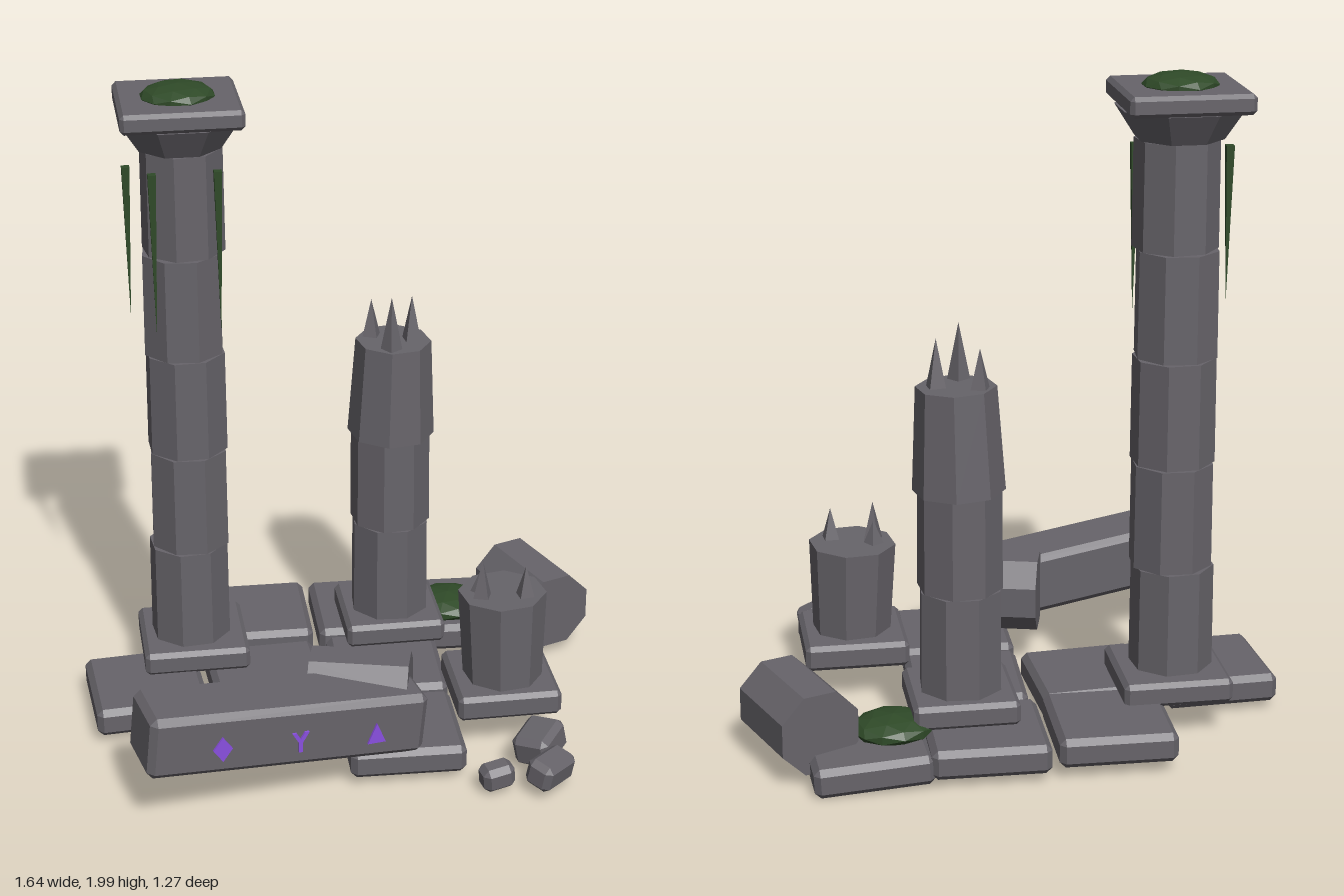
import * as THREE from 'three';
import { ConvexGeometry } from 'three/addons/geometries/ConvexGeometry.js';

const stone = new THREE.MeshStandardMaterial({ color: 0x67646a });
stone.name = 'stone';
const moss = new THREE.MeshStandardMaterial({ color: 0x2f4a28 });
moss.name = 'moss';
const glow = new THREE.MeshStandardMaterial({ color: 0x8a4fe0 });
glow.name = 'runePurple';

// Faceted copy of a geometry
function flat(geometry) {
  const g = geometry.index ? geometry.toNonIndexed() : geometry;
  g.computeVertexNormals();
  return g;
}

function add(parent, name, geometry, material, pos, rot = [0, 0, 0]) {
  const mesh = new THREE.Mesh(geometry, material);
  mesh.name = name;
  mesh.position.set(...pos);
  mesh.rotation.set(...rot);
  parent.add(mesh);
  return mesh;
}

// Box with every edge and corner cut off
function chamferBox(w, h, d, c) {
  const points = [];
  for (const x of [-1, 1]) for (const y of [-1, 1]) for (const z of [-1, 1]) {
    const X = w / 2, Y = h / 2, Z = d / 2;
    points.push(
      new THREE.Vector3(x * X, y * (Y - c), z * (Z - c)),
      new THREE.Vector3(x * (X - c), y * Y, z * (Z - c)),
      new THREE.Vector3(x * (X - c), y * (Y - c), z * Z));
  }
  return new ConvexGeometry(points);
}

// Eight-sided drum with a flat side to the front
function drum(top, bottom, height) {
  return flat(new THREE.CylinderGeometry(top, bottom, height, 8, 1, false, Math.PI / 8));
}

// Broken-off shards: [x, z, tip height] standing on y
function addShards(parent, y, shards) {
  shards.forEach(([x, z, tip], i) => {
    const h = tip - y + 0.01;
    add(parent, 'shard', flat(new THREE.ConeGeometry(0.036, h, 4)), stone,
      [x, y - 0.01 + h / 2, z], [0, 0.4 + i * 0.5, 0]);
  });
}

function addMoss(parent, x, y, z, rx, ry, rz, turn) {
  const g = flat(new THREE.IcosahedronGeometry(1, 1));
  g.scale(rx, ry, rz);
  g.computeVertexNormals();
  add(parent, 'mossPatch', g, moss, [x, y, z], [0, turn, 0]);
}

function group(parent, name) {
  const g = new THREE.Group();
  g.name = name;
  parent.add(g);
  return g;
}

function fillShape(points) {
  const shape = new THREE.Shape(points.map(([x, y]) => new THREE.Vector2(x, y)));
  return new THREE.ExtrudeGeometry(shape, { depth: 0.009, bevelEnabled: false });
}

export function createModel() {
  const model = new THREE.Group();
  model.name = 'ruinedColumns';

  // Paving: x, y, z, turn, tilt
  const paving = group(model, 'paving');
  [
    [-0.255, 0.095, -0.46, -0.02, 0],
    [0.117, 0.085, -0.46, -0.02, 0],
    [0.465, 0.065, -0.46, 0.04, -0.05],
    [-0.64, 0.083, -0.08, 0.06, 0.01],
    [-0.26, 0.076, -0.088, 0.05, -0.01],
    [0.122, 0.083, -0.085, -0.04, 0],
    [0.107, 0.083, 0.288, -0.02, -0.01],
  ].forEach(([x, y, z, turn, tilt]) =>
    add(paving, 'pavingSlab', chamferBox(0.35, 0.09, 0.35, 0.018), stone, [x, y, z], [0, turn, tilt]));

  // Tall column with capital
  const tall = group(model, 'tallColumn');
  const tx = -0.475, tz = -0.255;
  add(tall, 'plinth', chamferBox(0.33, 0.075, 0.33, 0.014), stone, [tx, 0.163, tz]);
  const turns = [0.1, -0.06, 0.05, -0.1, 0.14];
  const shifts = [-0.007, 0, 0, -0.003, 0.005];
  turns.forEach((turn, i) =>
    add(tall, 'drum', drum(0.124, 0.126, 0.318), stone,
      [tx + shifts[i], 0.362 + i * 0.323, tz + 0.005], [0, turn, 0]));
  add(tall, 'capital', drum(0.19, 0.13, 0.09), stone, [tx, 1.86, tz]);
  add(tall, 'abacus', chamferBox(0.36, 0.06, 0.36, 0.012), stone, [tx, 1.935, tz]);
  addMoss(tall, tx, 1.967, tz, 0.112, 0.036, 0.108, 0.3);

  // Hanging vines: x, z, lower end
  const vines = group(model, 'vines');
  [[-0.637, -0.2, 1.305], [-0.567, -0.117, 1.26], [-0.375, -0.122, 1.265]].forEach(([x, z, low]) =>
    add(vines, 'vine', flat(new THREE.ConeGeometry(0.017, 1.775 - low, 4)), moss,
      [x, (1.775 + low) / 2, z], [Math.PI, Math.PI / 4, 0]));

  // Half-height broken column
  const broken = group(model, 'brokenColumn');
  const bx = 0.17, bz = -0.325;
  add(broken, 'plinth', chamferBox(0.315, 0.075, 0.315, 0.014), stone, [bx, 0.165, bz]);
  add(broken, 'drum', drum(0.125, 0.127, 0.312), stone, [bx, 0.358, bz], [0, -0.08, 0]);
  add(broken, 'drum', drum(0.125, 0.127, 0.302), stone, [bx, 0.668, bz], [0, 0.09, 0]);
  add(broken, 'brokenDrum', drum(0.118, 0.136, 0.312), stone, [bx + 0.005, 0.973, bz], [0.02, 0.2, -0.02]);
  addShards(broken, 1.125, [[0.115, -0.365, 1.25], [0.235, -0.32, 1.272], [0.16, -0.25, 1.297]]);

  // Column stump
  const stump = group(model, 'columnStump');
  add(stump, 'plinth', chamferBox(0.32, 0.08, 0.315, 0.014), stone, [0.44, 0.163, 0.163]);
  add(stump, 'brokenDrum', drum(0.135, 0.122, 0.285), stone, [0.44, 0.342, 0.168], [-0.02, 0.15, 0.02]);
  addShards(stump, 0.48, [[0.37, 0.187, 0.605], [0.5, 0.205, 0.585], [0.372, 0.152, 0.555]]);

  // Fallen drums, lying along their turned axes
  const fallen = group(model, 'fallenDrums');
  const leaning = add(fallen, 'fallenDrum', drum(0.125, 0.125, 0.3), stone, [-0.02, 0.25, 0.287]);
  leaning.rotation.set(Math.PI / 2, 0, -(Math.PI / 2 + 0.26), 'XYZ');
  leaning.rotation.set(Math.PI / 2, Math.PI / 2 - 0.26, 0, 'YXZ');
  const rolled = add(fallen, 'fallenDrum', drum(0.13, 0.13, 0.3), stone, [0.655, 0.167, -0.382]);
  rolled.rotation.set(Math.PI / 2, 0.35, 0, 'YXZ');

  addMoss(model, 0.383, 0.13, -0.425, 0.125, 0.04, 0.112, 0.2);

  // Fallen lintel with carved runes
  const lintel = group(model, 'fallenLintel');
  lintel.position.set(-0.283, 0.256, 0.437);
  lintel.rotation.set(0, 0.2, -0.1, 'YXZ');
  add(lintel, 'beam', chamferBox(0.855, 0.195, 0.215, 0.02), stone, [0, 0, 0]);
  const runes = [
    [[0, -0.04], [0.029, 0], [0, 0.04], [-0.029, 0]],
    [[-0.006, -0.035], [0.006, -0.035], [0.006, -0.003], [0.026, 0.03], [0.013, 0.03],
      [0, 0.009], [-0.013, 0.03], [-0.026, 0.03], [-0.006, -0.003]],
    [[-0.028, -0.03], [0.028, -0.03], [0, 0.035]],
  ];
  runes.forEach((points, i) =>
    add(lintel, 'rune', fillShape(points), glow, [-0.21 + i * 0.238, -0.01, 0.106], [0, 0, 0.08]));

  // Loose rubble: size, position, rotation
  const rubble = group(model, 'rubble');
  [
    [[0.1, 0.08, 0.075], [0.355, 0.065, 0.53], [0.08, 0.2, 0.1]],
    [[0.12, 0.1, 0.145], [0.508, 0.1, 0.422], [0.2, -0.65, 0.25]],
    [[0.145, 0.09, 0.09], [0.513, 0.085, 0.55], [0.25, 0.7, -0.2]],
  ].forEach(([size, pos, rot]) =>
    add(rubble, 'rock', chamferBox(...size, 0.018), stone, pos, rot));

  return model;
}
